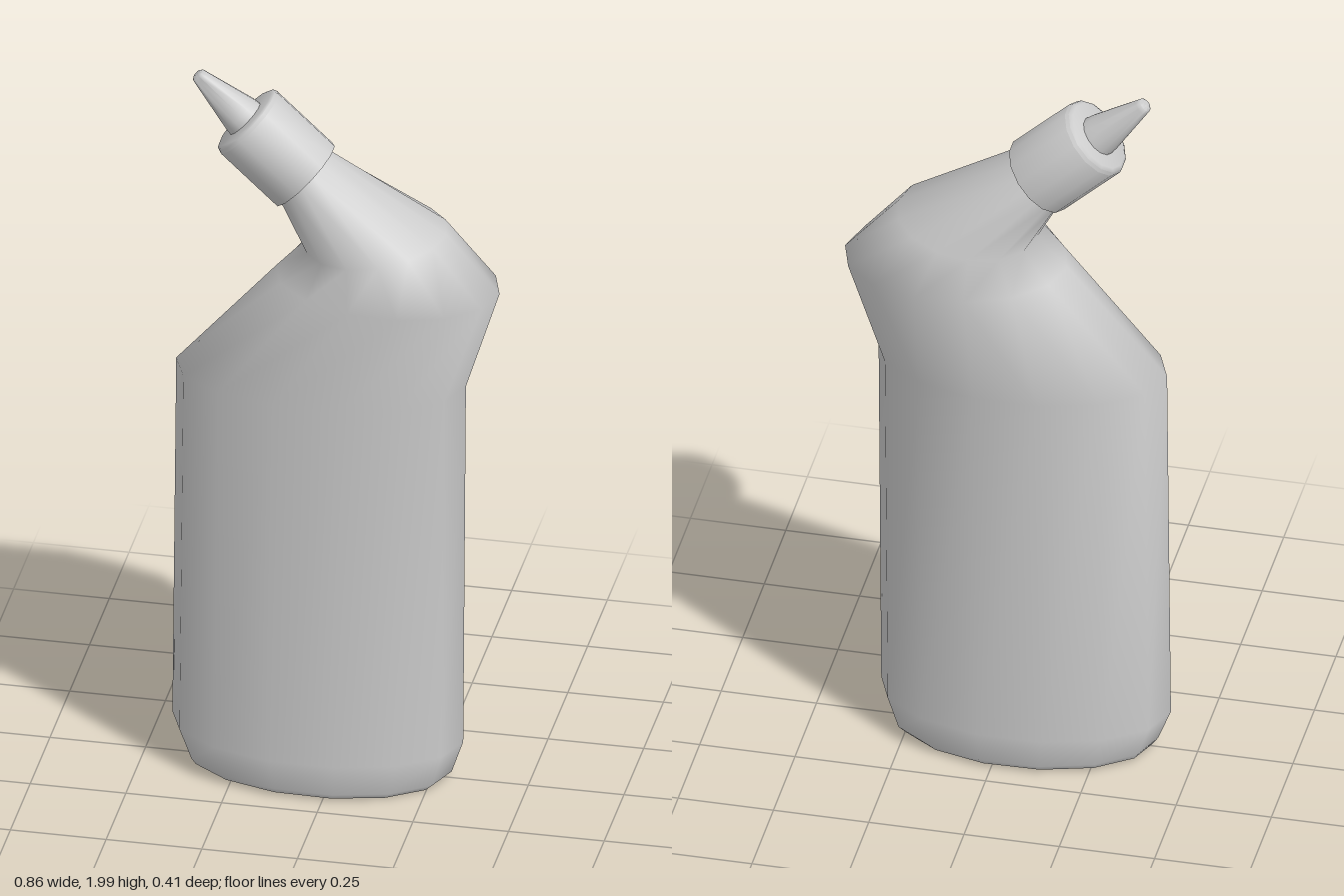
import * as THREE from 'three';
import { toCreasedNormals } from 'three/addons/utils/BufferGeometryUtils.js';

const SIDES = 14;
const material = new THREE.MeshStandardMaterial({ color: 0xcccccc });

// Elliptical sections: left point (x, y), right point (x, y), half depth along z
const SECTIONS = [
  [-0.385, 0.012, 0.28, 0.002, 0.183],
  [-0.397, 0.03, 0.3, 0.02, 0.197],
  [-0.43, 0.115, 0.33, 0.11, 0.212],
  [-0.42, 1.15, 0.337, 1.15, 0.212],
  [-0.158, 1.45, 0.425, 1.43, 0.212],
  [-0.08, 1.535, 0.285, 1.59, 0.184],
  [-0.145, 1.655, -0.025, 1.785, 0.098],
  [-0.19, 1.7, -0.07, 1.825, 0.088],
];

// Skin the sections with shared vertices so the sides shade smoothly
function bodyGeometry() {
  const positions = [], index = [];
  const addRing = ([lx, ly, rx, ry, depth]) => {
    for (let j = 0; j < SIDES; j++) {
      const t = (j / SIDES) * Math.PI * 2;
      const k = (1 + Math.cos(t)) / 2;
      positions.push(lx + (rx - lx) * k, ly + (ry - ly) * k, depth * Math.sin(t));
    }
  };
  SECTIONS.forEach(addRing);
  for (let i = 0; i < SECTIONS.length - 1; i++) {
    for (let j = 0; j < SIDES; j++) {
      const a = i * SIDES + j, b = i * SIDES + (j + 1) % SIDES;
      index.push(a, a + SIDES, b, b, a + SIDES, b + SIDES);
    }
  }
  // flat base with its own vertices, for a sharp rim
  const start = positions.length / 3;
  addRing(SECTIONS[0]);
  for (let j = 1; j < SIDES - 1; j++) index.push(start, start + j, start + j + 1);

  const geometry = new THREE.BufferGeometry();
  geometry.setAttribute('position', new THREE.Float32BufferAttribute(positions, 3));
  geometry.setIndex(index);
  geometry.computeVertexNormals();
  return geometry;
}

function turned(name, profile) {
  const points = profile.map(([r, y]) => new THREE.Vector2(r, y));
  const mesh = new THREE.Mesh(toCreasedNormals(new THREE.LatheGeometry(points, SIDES), 0.9), material);
  mesh.name = name;
  return mesh;
}

export function createModel() {
  const model = new THREE.Group();
  model.name = 'squeezeBottle';

  const body = new THREE.Mesh(bodyGeometry(), material);
  body.name = 'bottleBody';
  model.add(body);

  // Cap and spout share the tilted axis of the neck
  const top = new THREE.Group();
  top.name = 'capAssembly';
  top.position.set(-0.083, 1.722, 0);
  top.rotation.z = 0.821;
  top.add(
    turned('cap', [[0, 0.012], [0.094, 0.012], [0.097, 0], [0.109, 0], [0.109, 0.2],
      [0.105, 0.21], [0.095, 0.215], [0, 0.215]]),
    turned('spout', [[0.057, 0.205], [0.053, 0.235], [0.022, 0.37], [0.019, 0.382],
      [0.011, 0.388], [0, 0.388]]),
  );
  model.add(top);
  return model;
}
